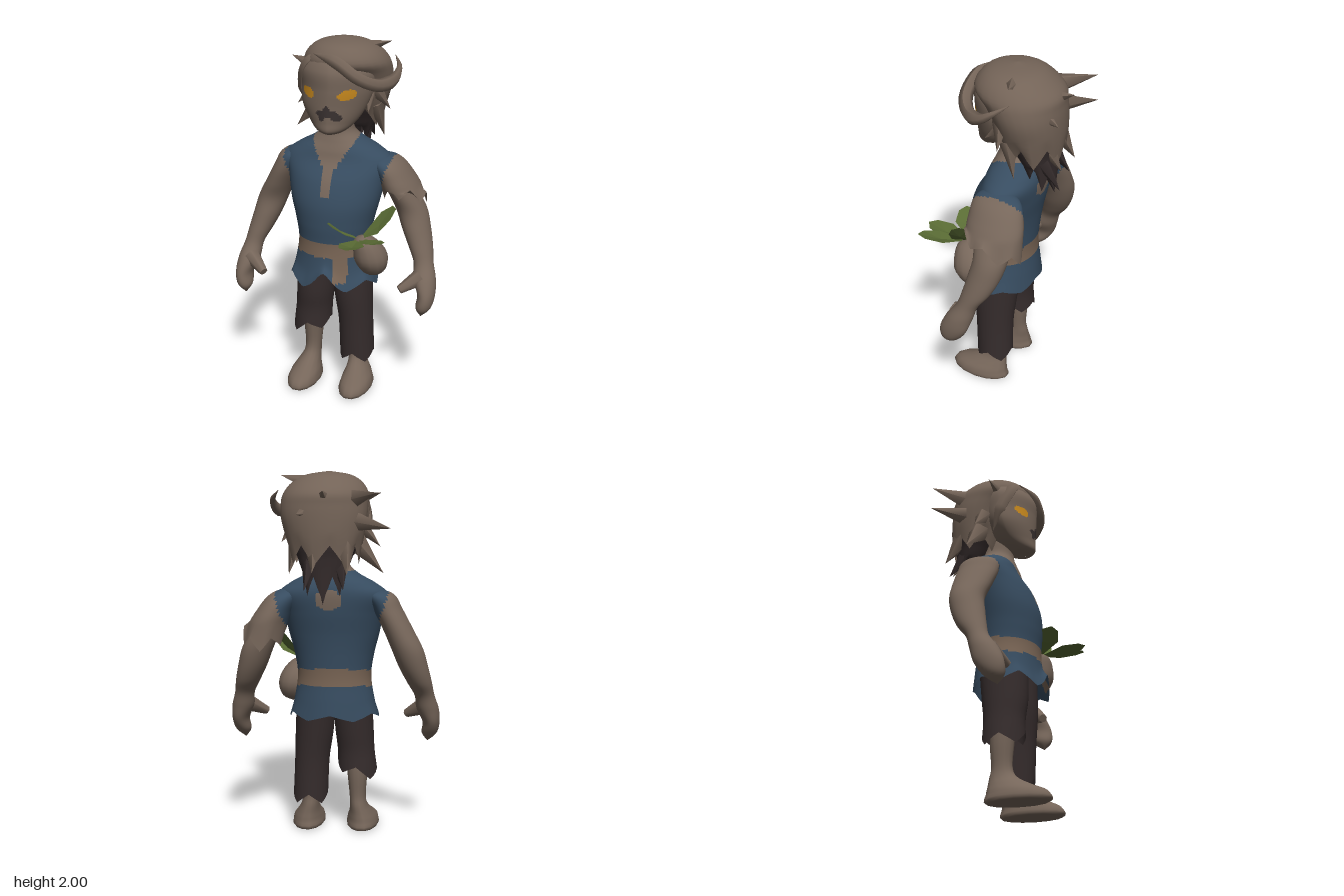
import * as THREE from 'three';

const mat = (name, color, side = THREE.FrontSide) => {
  const m = new THREE.MeshStandardMaterial({ color, side });
  m.name = name;
  return m;
};

// Triangle wave between -1 and 1, used for torn hems
const zigzag = (a, teeth) => {
  const t = (((a / (Math.PI * 2)) * teeth) % 1 + 1) % 1;
  return Math.abs(t * 4 - 2) - 1;
};

const inEllipse = (x, y, cx, cy, rx, ry) => ((x - cx) / rx) ** 2 + ((y - cy) / ry) ** 2 < 1;

// Smooth body through elliptical rings [y, cx, cz, rx, rz], listed bottom to top.
// hem(angle) shifts the lower edge; paint(x, y, z) picks a material index per cell;
// power below 2 makes the rings more diamond-like.
function loft(rings, { side = 1, seg = 14, rows = 14, power = 2, hem = null, paint = () => 0 } = {}) {
  const centre = new THREE.CatmullRomCurve3(rings.map(([y, x, z]) => new THREE.Vector3(x * side, y, z)), false, 'catmullrom', 0.5);
  const radius = new THREE.CatmullRomCurve3(rings.map(r => new THREE.Vector3(r[3], 0, r[4])), false, 'catmullrom', 0.5);
  const bend = t => Math.sign(t) * Math.abs(t) ** (2 / power);
  const pos = [], lists = [];
  for (let i = 0; i <= rows; i++) {
    const v = i / rows, c = centre.getPoint(v), r = radius.getPoint(v);
    for (let j = 0; j < seg; j++) {
      const a = (j / seg) * Math.PI * 2;
      const dy = hem ? hem(a) * Math.max(0, 1 - v / 0.18) : 0;
      pos.push(c.x + Math.max(r.x, 0.001) * bend(Math.cos(a)), c.y + dy, c.z + Math.max(r.z, 0.001) * bend(Math.sin(a)));
    }
  }
  for (let i = 0; i < rows; i++) {
    for (let j = 0; j < seg; j++) {
      const a = i * seg + j, b = i * seg + (j + 1) % seg, c = a + seg, d = b + seg;
      const mid = k => (pos[a * 3 + k] + pos[d * 3 + k]) / 2;
      const m = paint(mid(0), mid(1), mid(2));
      (lists[m] ||= []).push(a, c, b, b, c, d);
    }
  }
  const geo = new THREE.BufferGeometry();
  geo.setAttribute('position', new THREE.Float32BufferAttribute(pos, 3));
  geo.setIndex(lists.flat());
  let start = 0;
  lists.forEach((list, m) => {
    geo.addGroup(start, list.length, m);
    start += list.length;
  });
  geo.computeVertexNormals();
  return geo;
}

// Tapered strand from a base point to a tip
function spike(from, to, r, tipR = 0, sides = 5) {
  const a = new THREE.Vector3(...from), b = new THREE.Vector3(...to);
  const dir = b.clone().sub(a), geo = new THREE.CylinderGeometry(tipR, r, dir.length(), sides, 1);
  geo.applyQuaternion(new THREE.Quaternion().setFromUnitVectors(new THREE.Vector3(0, 1, 0), dir.normalize()));
  return geo.translate(...a.add(b).multiplyScalar(0.5).toArray());
}

// Curved lock, thick in the middle and pointed at both ends
function curl(points, r) {
  const path = new THREE.CatmullRomCurve3(points.map(p => new THREE.Vector3(...p)));
  const n = 24, sides = 6, geo = new THREE.TubeGeometry(path, n, r, sides), p = geo.attributes.position;
  const v = new THREE.Vector3();
  for (let i = 0; i < p.count; i++) {
    const t = Math.floor(i / (sides + 1)) / n, c = path.getPointAt(t);
    v.fromBufferAttribute(p, i).sub(c).multiplyScalar(Math.min(1, t * 5 + 0.05, (1 - t) * 3)).add(c);
    p.setXYZ(i, v.x, v.y, v.z);
  }
  geo.computeVertexNormals();
  return geo;
}

// Leaf blade with a folded middle; tilt turns one edge downward
function leaf(from, to, width, tilt) {
  const a = new THREE.Vector3(...from), b = new THREE.Vector3(...to), d = b.clone().sub(a);
  const w = new THREE.Vector3(-d.z, 0, d.x).normalize().multiplyScalar(width / 2);
  w.y = -tilt;
  const at = (t, s, drop = 0) => a.clone().addScaledVector(d, t).addScaledVector(w, s).add(new THREE.Vector3(0, -drop, 0));
  const pts = [a, at(0.55, -1), at(0.55, 0, 0.015), at(0.55, 1), at(0.88, -0.65), at(0.88, 0.65), b];
  const geo = new THREE.BufferGeometry().setFromPoints(pts);
  geo.setIndex([0, 2, 1, 0, 3, 2, 1, 2, 4, 2, 3, 5, 2, 5, 6, 2, 6, 4]);
  const flat = geo.toNonIndexed();
  flat.computeVertexNormals();
  return flat;
}

export function createModel() {
  const group = new THREE.Group();
  group.name = 'raggedFigure';
  const skin = mat('skin brown', 0x76665a);
  const hair = mat('hair brown', 0x736357, THREE.DoubleSide);
  const tatter = mat('sleeve brown', 0x76665a, THREE.DoubleSide);
  const blue = mat('tunic blue', 0x374c60, THREE.DoubleSide);
  const belt = mat('belt tan', 0x786454, THREE.DoubleSide);
  const dark = mat('trouser dark', 0x352c2c, THREE.DoubleSide);
  const gold = mat('eye gold', 0xc98a1e);
  const mouth = mat('mouth dark', 0x3a3231);
  const green = mat('leaf green', 0x596b34, THREE.DoubleSide);
  const add = (name, geo, material) => {
    const m = new THREE.Mesh(geo, material);
    m.name = name;
    group.add(m);
  };

  // Tunic with open collar, belt, hanging belt end and back patch
  add('tunic', loft([
    [0.665, 0, 0.005, 0.25, 0.205], [0.75, 0, -0.005, 0.225, 0.187], [0.88, 0, -0.005, 0.205, 0.175],
    [1.0, 0, -0.005, 0.22, 0.182], [1.12, 0, -0.015, 0.25, 0.187], [1.24, 0, -0.045, 0.275, 0.18],
    [1.34, 0, -0.08, 0.3, 0.155], [1.4, 0, -0.085, 0.235, 0.14], [1.45, 0, -0.08, 0.145, 0.115],
    [1.5, 0, -0.07, 0.09, 0.09], [1.58, 0, -0.06, 0.08, 0.08],
  ], {
    seg: 96, rows: 100,
    hem: a => (a < Math.PI ? 0.03 : 0.018) * zigzag(a + 0.5, 6) + 0.05 * Math.max(0, Math.sin(a)) ** 40,
    paint: (x, y, z) => {
      if (y > 1.47) return 1;
      if (z > -0.06 && y > 1.17 && Math.abs(x + 0.008) < 0.028 + Math.max(0, y - 1.3) * 0.62) return 1;
      if (z < -0.1 && inEllipse(x, y, 0.01, 1.32, 0.07, 0.055)) return 1;
      const lift = z < 0 ? -z * 0.15 : 0;
      if (y > 0.82 + lift && y < 0.91 + lift) return 2;
      return z > 0 && x > 0.045 && x < 0.12 && y > 0.685 && y < 0.87 ? 2 : 0;
    },
  }), [blue, skin, belt]);

  // Head with painted eyes and mouth
  add('head', loft([
    [1.5, 0, 0.09, 0.001, 0.001], [1.525, 0, 0.07, 0.075, 0.075], [1.58, 0, 0.025, 0.135, 0.125],
    [1.66, 0, 0, 0.18, 0.152], [1.75, 0.01, -0.02, 0.2, 0.175], [1.85, 0.01, -0.02, 0.2, 0.17],
    [1.93, 0.01, -0.04, 0.14, 0.13], [1.97, 0.01, -0.05, 0.001, 0.001],
  ], {
    seg: 120, rows: 84, power: 1.65,
    paint: (x, y, z) => {
      if (z < 0) return 0;
      if (inEllipse(x, y + x * 0.15, -0.115, 1.715, 0.038, 0.027)) return 1;
      if (inEllipse(x, y - x * 0.2, 0.105, 1.712, 0.046, 0.028)) return 1;
      if (inEllipse(x, y, 0, 1.63, 0.062, 0.02) || inEllipse(x, y, 0, 1.645, 0.018, 0.028)) return 2;
      return inEllipse(x, y, 0.05, 1.61, 0.028, 0.02) || inEllipse(x, y, -0.03, 1.61, 0.018, 0.022) ? 2 : 0;
    },
  }), [skin, gold, mouth]);

  // Domed hair with a ragged edge, over darker strands at the nape
  add('hair', loft([
    [1.56, 0.03, -0.2, 0.18, 0.145], [1.66, 0.035, -0.18, 0.21, 0.175], [1.75, 0.04, -0.165, 0.23, 0.19],
    [1.82, 0.04, -0.14, 0.235, 0.21], [1.88, 0.035, -0.105, 0.23, 0.235], [1.94, 0.03, -0.085, 0.19, 0.19],
    [1.98, 0.025, -0.08, 0.12, 0.125], [2.0, 0.02, -0.08, 0.001, 0.001],
  ], { seg: 28, rows: 28, hem: a => 0.05 * zigzag(a, 7) }), hair);
  add('napeHair', loft([
    [1.43, 0.03, -0.24, 0.1, 0.07], [1.54, 0.03, -0.21, 0.145, 0.115], [1.64, 0.03, -0.19, 0.17, 0.14], [1.68, 0.03, -0.19, 0.001, 0.001],
  ], { seg: 24, rows: 18, hem: a => 0.06 * zigzag(a, 6) + 0.05 * Math.sin(a) }), dark);
  add('forelock', curl([
    [-0.09, 1.93, 0.08], [0.05, 1.9, 0.13], [0.17, 1.825, 0.135], [0.26, 1.785, 0.07],
    [0.315, 1.8, -0.02], [0.325, 1.85, -0.1], [0.28, 1.9, -0.18],
  ], 0.036), hair);
  add('sideLock', curl([[-0.06, 1.94, 0.04], [-0.14, 1.86, 0.04], [-0.175, 1.74, -0.01], [-0.16, 1.6, -0.06]], 0.035), hair);
  [
    [[-0.12, 1.74, -0.22], [-0.33, 1.7, -0.38], 0.06], [[-0.11, 1.85, -0.22], [-0.26, 1.88, -0.4], 0.06],
    [[0.03, 1.84, -0.24], [0.02, 1.89, -0.4], 0.06], [[0.1, 1.93, -0.1], [0.27, 1.975, -0.16], 0.05],
    [[0.1, 1.8, -0.23], [0.16, 1.77, -0.38], 0.06], [[-0.13, 1.62, -0.15], [-0.28, 1.46, -0.18], 0.06],
    [[-0.13, 1.85, -0.02], [-0.26, 1.885, -0.06], 0.04], [[-0.14, 1.72, -0.12], [-0.26, 1.6, -0.14], 0.05],
    [[0.19, 1.64, -0.12], [0.23, 1.45, -0.17], 0.05], [[0.19, 1.74, -0.08], [0.28, 1.62, -0.1], 0.05],
    [[0.17, 1.7, -0.06], [0.19, 1.62, 0.02], 0.04],
    [[0.08, 1.62, -0.27], [0.08, 1.47, -0.37], 0.06], [[-0.08, 1.62, -0.26], [-0.1, 1.46, -0.36], 0.06],
  ].forEach(([a, b, r]) => add('hairTuft', spike(a, b, r), hair));
  [
    [[0.03, 1.5, -0.25], [0.03, 1.3, -0.31], 0.055], [[0.1, 1.54, -0.25], [0.12, 1.38, -0.38], 0.05],
    [[-0.05, 1.53, -0.24], [-0.08, 1.38, -0.34], 0.05],
  ].forEach(([a, b, r]) => add('napeStrand', spike(a, b, r), dark));

  // Tunic cloth reaches over the top of each shoulder
  const shoulder = (x, y) => (y > 1.15 && Math.abs(x) < 0.29 + (y - 1.3) * 0.35 ? 1 : 0);

  // Arms, hands, legs and feet
  for (const side of [1, -1]) {
    const tag = side > 0 ? 'left' : 'right';
    add(tag + 'Arm', loft([
      [0.5, 0.52, 0.07, 0.001, 0.001], [0.55, 0.53, 0.055, 0.042, 0.055], [0.62, 0.54, 0.03, 0.048, 0.078],
      [0.7, 0.52, 0, 0.062, 0.075], [0.78, 0.503, -0.04, 0.055, 0.06], [0.86, 0.475, -0.08, 0.068, 0.078],
      [0.95, 0.442, -0.11, 0.08, 0.09], [1.05, 0.408, -0.13, 0.086, 0.095], [1.15, 0.36, -0.12, 0.082, 0.108],
      [1.26, 0.302, -0.105, 0.08, 0.115], [1.34, 0.262, -0.1, 0.072, 0.1], [1.375, 0.24, -0.09, 0.001, 0.001],
    ], { side, seg: 28, rows: 66, paint: shoulder }), [skin, blue]);
    add(tag + 'Thumb', spike([side * 0.5, 0.71, 0.02], [side * 0.4, 0.65, 0.09], 0.05, 0.024, 7), skin);
    add(tag + 'LegAndFoot', loft([
      [0, 0.155, 0.08, 0.001, 0.001], [0.002, 0.155, 0.08, 0.085, 0.165], [0.05, 0.155, 0.078, 0.086, 0.165],
      [0.095, 0.148, 0.035, 0.066, 0.115], [0.14, 0.138, 0, 0.05, 0.075], [0.2, 0.132, -0.01, 0.046, 0.056],
      [0.32, 0.13, -0.01, 0.056, 0.064], [0.45, 0.125, 0, 0.062, 0.07],
    ], { side, rows: 28 }), skin);
  }

  // Torn trousers, one leg longer than the other
  add('leftTrouserLeg', loft([
    [0.185, 0.135, -0.005, 0.098, 0.105], [0.4, 0.127, 0, 0.098, 0.11], [0.58, 0.112, 0, 0.108, 0.125], [0.78, 0.1, -0.01, 0.11, 0.135],
  ], { seg: 24, rows: 18, hem: a => 0.028 * zigzag(a, 4) }), dark);
  add('rightTrouserLeg', loft([
    [0.35, -0.13, 0, 0.11, 0.115], [0.46, -0.122, 0, 0.104, 0.112], [0.58, -0.112, 0, 0.108, 0.125], [0.78, -0.1, -0.01, 0.11, 0.135],
  ], { seg: 24, rows: 18, hem: a => 0.028 * zigzag(a, 4) + 0.025 * Math.cos(a) }), dark);

  // Ragged sleeve on the left shoulder only
  add('leftSleeve', loft([
    [1.13, 0.372, -0.125, 0.115, 0.16], [1.24, 0.322, -0.115, 0.1, 0.155], [1.335, 0.268, -0.1, 0.078, 0.12], [1.38, 0.24, -0.095, 0.001, 0.001],
  ], { seg: 36, rows: 30, hem: a => 0.032 * zigzag(a, 6) + 0.055 * Math.sin(a), paint: shoulder }), [tatter, blue]);

  // Belt pouch with a sprig of leaves
  add('pouch', loft([
    [0.715, 0.245, 0.08, 0.001, 0.001], [0.745, 0.245, 0.08, 0.06, 0.06], [0.81, 0.238, 0.085, 0.092, 0.1],
    [0.88, 0.225, 0.095, 0.085, 0.095], [0.94, 0.205, 0.115, 0.055, 0.06], [0.965, 0.2, 0.12, 0.001, 0.001],
  ], { rows: 15 }), skin);
  [
    [[0.03, 1.05, 0.23], 0.14, 0], [[0.18, 0.98, 0.39], 0.14, 0], [[0.36, 1.02, 0.35], 0.12, 0], [[0.38, 1.135, 0.12], 0.1, 0.045],
  ].forEach(([tip, w, tilt]) => add('leaf', leaf([0.18, 0.94, 0.13], tip, w, tilt), green));

  return group;
}
